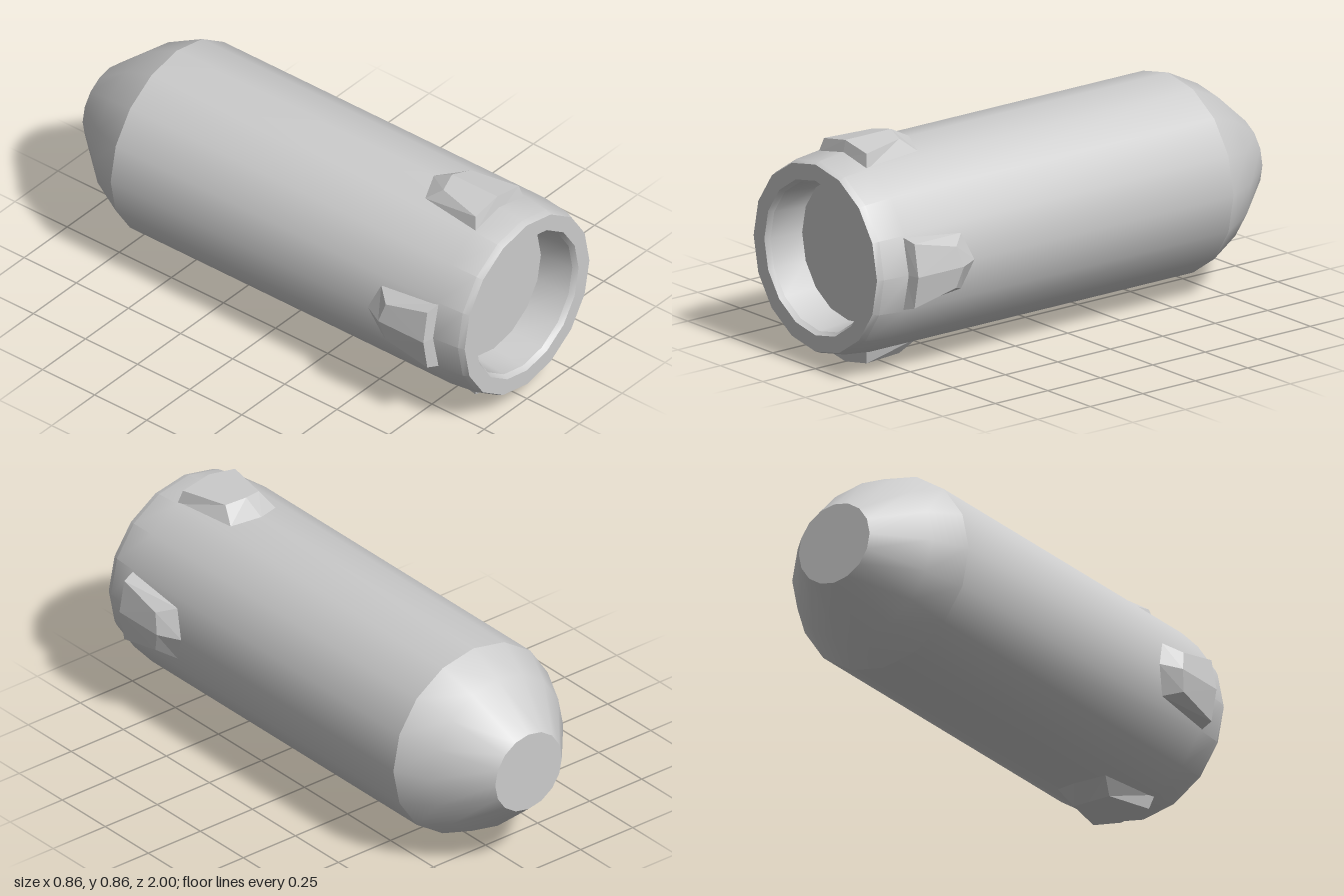
import * as THREE from 'three';
import { toCreasedNormals } from 'three/addons/utils/BufferGeometryUtils.js';

const material = new THREE.MeshStandardMaterial({ color: 0xcccccc });
const flatMaterial = new THREE.MeshStandardMaterial({ color: 0xcccccc, flatShading: true });

// Sixteen-sided shell: closed tapered tail, straight tube, bevelled rim and recess
function shellGeometry() {
  const profile = [
    [0, -1], [0.16, -1], [0.315, -0.82], [0.385, -0.68], // tail
    [0.385, 0.86], [0.373, 0.975], [0.363, 1],           // tube and outer rim
    [0.3, 1], [0.288, 0.98], [0.275, 0.84], [0, 0.84],   // inner rim and recess
  ].map(([r, z]) => new THREE.Vector2(r, z));
  const geometry = new THREE.LatheGeometry(profile, 16);
  geometry.rotateX(Math.PI / 2);
  return toCreasedNormals(geometry, 0.42);
}

// Lug lofted between a base outline on the shell and a smaller raised outline
function lugGeometry() {
  const base = [
    [0, 0.365, 0.87], [0.142, 0.35, 0.87], [0.108, 0.363, 0.6],
    [0, 0.383, 0.55], [-0.108, 0.363, 0.6], [-0.142, 0.35, 0.87],
  ];
  const top = [
    [0, 0.43, 0.857], [0.125, 0.407, 0.857], [0.08, 0.416, 0.665],
    [0, 0.43, 0.64], [-0.08, 0.416, 0.665], [-0.125, 0.407, 0.857],
  ];
  const n = base.length;
  const index = [];
  for (let i = 0; i < n; i++) {
    const j = (i + 1) % n;
    index.push(i, j, n + j, i, n + j, n + i);
  }
  // raised face, two facets meeting at the centre ridge
  index.push(n, n + 1, n + 2, n, n + 2, n + 3, n, n + 3, n + 4, n, n + 4, n + 5);
  const geometry = new THREE.BufferGeometry();
  geometry.setAttribute('position', new THREE.Float32BufferAttribute([...base, ...top].flat(), 3));
  geometry.setIndex(index);
  const faceted = geometry.toNonIndexed();
  faceted.computeVertexNormals();
  return faceted;
}

export function createModel() {
  const model = new THREE.Group();
  model.name = 'capsule';

  const shell = new THREE.Mesh(shellGeometry(), material);
  shell.name = 'shell';
  model.add(shell);

  // Four lugs around the front of the tube
  const lug = lugGeometry();
  ['topLug', 'rightLug', 'bottomLug', 'leftLug'].forEach((name, i) => {
    const mesh = new THREE.Mesh(lug, flatMaterial);
    mesh.name = name;
    mesh.rotation.z = i * Math.PI / 2;
    model.add(mesh);
  });

  model.children.forEach((part) => { part.position.y = 0.43; });
  return model;
}
